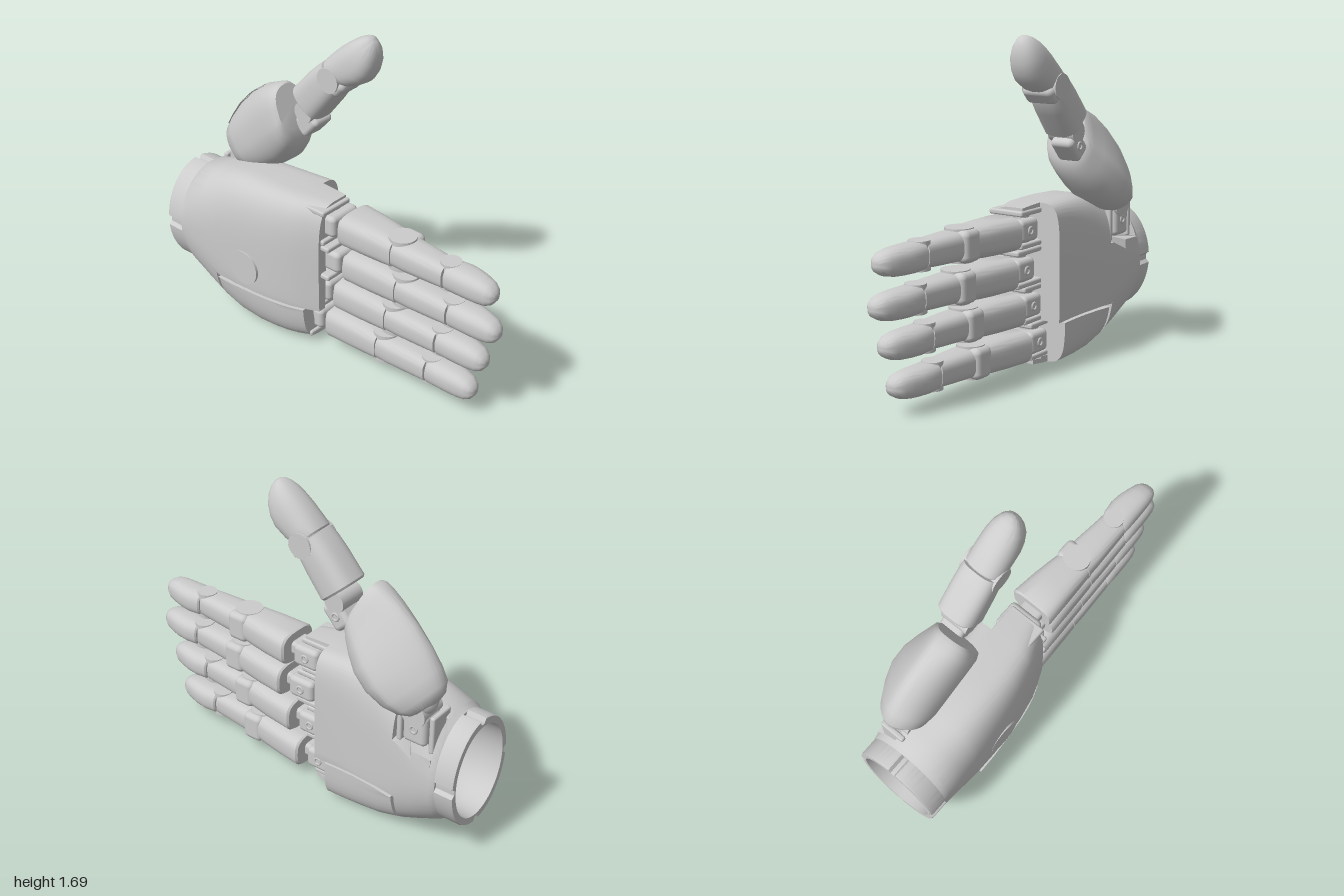
import * as THREE from 'three';
import { toCreasedNormals } from 'three/addons/utils/BufferGeometryUtils.js';
import { RoundedBoxGeometry } from 'three/addons/geometries/RoundedBoxGeometry.js';

const material = new THREE.MeshStandardMaterial({ color: 0xcccccc });

function addMesh(parent, name, geometry, x = 0, y = 0, z = 0) {
  const mesh = new THREE.Mesh(geometry, material);
  mesh.name = name;
  mesh.position.set(x, y, z);
  parent.add(mesh);
}

// Superellipse cross-section between x0..x1 and y0..y1, with its own squareness on
// the -x and +x sides; clip may reshape each point and shift it along z.
function ring([z, x0, x1, y0, y1, nBack = 3, nPalm = nBack], count, clip) {
  const points = [];
  for (let j = 0; j < count; j++) {
    const a = (j / count) * Math.PI * 2, c = Math.cos(a), s = Math.sin(a);
    const n = c > 0 ? nPalm : nBack;
    const x = (x0 + x1) / 2 + Math.sign(c) * Math.abs(c) ** (2 / n) * (x1 - x0) / 2;
    const y = (y0 + y1) / 2 + Math.sign(s) * Math.abs(s) ** (2 / n) * (y1 - y0) / 2;
    const [px, py, dz = 0] = clip ? clip(x, y, z, j) : [x, y];
    points.push([px, py, z + dz]);
  }
  return points;
}

// Skin a list of rings, closing the ends with a fan.
function skin(rings, capStart = true, capEnd = true) {
  const count = rings[0].length;
  const collapse = r => {
    const m = [0, 1, 2].map(k => r.reduce((t, p) => t + p[k], 0) / count);
    return r.map(() => m);
  };
  const all = [...rings];
  if (capStart) all.unshift(collapse(rings[0]));
  if (capEnd) all.push(collapse(rings[rings.length - 1]));
  const index = [];
  for (let i = 0; i < all.length - 1; i++) {
    for (let j = 0; j < count; j++) {
      const k = (j + 1) % count;
      const a = i * count + j, b = i * count + k, c = b + count, d = a + count;
      index.push(a, b, c, a, c, d);
    }
  }
  const g = new THREE.BufferGeometry();
  g.setAttribute('position', new THREE.Float32BufferAttribute(all.flat(2), 3));
  g.setIndex(index);
  return toCreasedNormals(g, 0.6);
}

const loft = (stations, count = 40, clip) => skin(stations.map(s => ring(s, count, clip)));

// Pin barrel along x or y
function barrel(parent, name, r, length, axis, x, y, z) {
  const g = new THREE.CylinderGeometry(r, r, length, 32);
  if (axis === 'x') g.rotateZ(Math.PI / 2);
  addMesh(parent, name, toCreasedNormals(g, 0.6), x, y, z);
}

// Swivel block with a hollow pin on the palm side
function joint(parent, name, w, h, d, x, y, z) {
  addMesh(parent, name, new RoundedBoxGeometry(w, h, d, 3, 0.025), x, y, z);
  const pin = new THREE.TorusGeometry(0.018, 0.006, 8, 20).rotateY(Math.PI / 2);
  addMesh(parent, name + 'Pin', pin, x + w / 2, y, z);
}

// Palm sections: z, x0, x1, y0, y1, squareness of the back and palm sides
const PALM = [
  [-0.9, -0.28, 0.19, 0.15, 0.74, 2], [-0.895, -0.28, 0.193, 0.148, 0.743, 2.05],
  [-0.875, -0.28, 0.193, 0.14, 0.755, 2.15], [-0.87, -0.28, 0.193, 0.135, 0.76, 2.2],
  [-0.76, -0.28, 0.185, 0.085, 0.79, 2.5], [-0.66, -0.28, 0.17, 0.045, 0.82, 2.8, 3],
  [-0.64, -0.28, 0.165, 0.04, 0.825, 2.9, 3.2], [-0.53, -0.278, 0.15, 0.015, 0.848, 3.2, 4],
  [-0.4, -0.27, 0.142, 0.008, 0.853, 3.5, 4.8], [-0.3, -0.26, 0.143, 0.012, 0.853, 3.7, 5.5],
  [-0.17, -0.235, 0.15, 0.025, 0.853, 4, 6], [-0.1, -0.21, 0.145, 0.035, 0.85, 4, 6],
  [-0.02, -0.175, 0.14, 0.045, 0.845, 4, 6],
];

function buildPalm(hand) {
  // Main shell: thumb pocket, space for the heel panel, back plate and index side wall at the front
  const pocket = (x, y) => {
    if (x < 0.05 || y < 0.54) return [x, y];
    return y < 0.58 ? [x, 0.58] : [0.05, y];
  };
  const upper = (x, y) => [x, Math.max(y, 0.25)];
  const pocketUpper = (x, y) => upper(...pocket(x, y));
  const plate = (x, y) => [Math.min(x, y > 0.81 ? 0.03 : -0.13), Math.max(y, 0.25)];
  const clips = [[undefined], [undefined], [undefined], [undefined, pocket], [pocket], [pocket, pocketUpper],
    [pocketUpper, upper], [upper], [upper], [upper], [upper, plate], [plate], [plate]];
  addMesh(hand, 'palm', skin(PALM.flatMap((s, i) => clips[i].map(c => ring(s, 128, c))), false));

  // Heel panel below the little finger
  const lower = (x, y) => [x, Math.min(y, 0.238)];
  const lowerPlate = (x, y) => [Math.min(x, y < 0.06 ? 0.04 : -0.13), Math.min(y, 0.238)];
  const heel = PALM.slice(6, 10).map(s => ring(s, 128, lower));
  const front = [-0.23, -0.249, 0.147, 0.018, 0.853, 3.9, 5.8];
  heel.push(ring(front, 128, lower), ring(front, 128, lowerPlate),
    ring(PALM[10], 128, lowerPlate), ring(PALM[11], 128, lowerPlate));
  addMesh(hand, 'heelPanel', skin(heel));

  // Round cover on the back of the hand
  barrel(hand, 'backCover', 0.095, 0.02, 'x', -0.269, 0.38, -0.45);
}

function buildCuff(hand) {
  // Hollow wrist: bowl, rim and notched outer wall in one skin
  const cx = -0.045, cy = 0.445;
  const round = (z, k, notch) => ring([z, cx - 0.235 * k, cx + 0.235 * k, cy - 0.295 * k, cy + 0.295 * k, 2], 128,
    (x, y, _, j) => {
      const f = notch && (j + 1) % 32 < 3 ? 0.92 : 1;
      return [cx + (x - cx) * f, cy + (y - cy) * f];
    });
  const rings = [[-0.66, 0.15], [-0.68, 0.4], [-0.73, 0.65], [-0.81, 0.79], [-0.9, 0.84], [-1, 0.86]]
    .map(([z, k]) => round(z, k));
  rings.push(round(-1, 0.985, true), round(-0.99, 1, true), round(-0.9, 1, true), round(-0.9, 0.975), round(-0.87, 0.95));
  addMesh(hand, 'wristCuff', skin(rings, true, false));
}

function buildFinger(hand, y, tip) {
  const f = new THREE.Group();
  f.name = 'finger';
  f.position.set(0, y, tip);
  hand.add(f);
  // Each station is distance from the tip, back x, palm x, half height
  const seg = (name, list, n) => addMesh(f, name, loft(list.map(([z, a, b, h]) => [z, a, b, -h, h, n])));
  seg('proximalSegment', [[-0.9, -0.135, 0.09, 0.08], [-0.89, -0.14, 0.1, 0.086], [-0.75, -0.137, 0.082, 0.085],
    [-0.66, -0.134, 0.066, 0.082], [-0.58, -0.131, 0.05, 0.076]], 3.2);
  seg('middleSegment', [[-0.575, -0.13, 0.045, 0.07], [-0.5, -0.13, 0.042, 0.072],
    [-0.36, -0.125, 0.026, 0.068], [-0.28, -0.122, 0.018, 0.063]], 3);
  seg('distalSegment', [[-0.272, -0.118, 0.018, 0.063], [-0.265, -0.122, 0.026, 0.068], [-0.2, -0.123, 0.034, 0.069],
    [-0.14, -0.122, 0.026, 0.068], [-0.09, -0.12, 0.012, 0.065], [-0.045, -0.116, -0.002, 0.056],
    [-0.018, -0.106, -0.02, 0.04], [-0.005, -0.09, -0.04, 0.022], [0, -0.075, -0.055, 0.008]], 2.6);
  // Hinges and the pad that wraps the middle one
  barrel(f, 'middleHinge', 0.07, 0.164, 'y', -0.04, 0, -0.57);
  barrel(f, 'tipHinge', 0.052, 0.14, 'y', -0.045, 0, -0.28);
  addMesh(f, 'hingePad', new RoundedBoxGeometry(0.08, 0.155, 0.12, 3, 0.03), 0.018, 0, -0.56);

  // Knuckle block, neck and the bracket cheeks that hold it
  joint(f, 'knuckle', 0.19, 0.115, 0.15, -0.03, 0, -1.01);
  barrel(f, 'knuckleBarrel', 0.055, 0.15, 'y', -0.03, 0, -1.04);
  addMesh(f, 'neck', new RoundedBoxGeometry(0.12, 0.07, 0.1, 2, 0.02), -0.03, 0, -0.92);
  const back = -0.26 - tip, length = -0.97 - back;
  for (const side of [-1, 1])
    addMesh(f, 'bracketCheek', new RoundedBoxGeometry(0.2, 0.028, length, 2, 0.01),
      -0.06, side * 0.082, back + length / 2);
}

function buildThumb(hand) {
  // Base swivel in the palm pocket
  joint(hand, 'thumbSwivel', 0.13, 0.17, 0.13, 0.095, 0.69, -0.755);
  for (const z of [-0.665, -0.845])
    addMesh(hand, 'thumbBracket', new RoundedBoxGeometry(0.14, 0.2, 0.028, 2, 0.01), 0.08, 0.685, z);
  barrel(hand, 'thumbSwivelBarrel', 0.065, 0.15, 'x', 0.09, 0.77, -0.75);
  addMesh(hand, 'thumbBall', new THREE.SphereGeometry(0.075, 24, 16), 0.1, 0.83, -0.76);

  // Fleshy base of the thumb: fullest towards the palm, slim along its back, slanted at the tip
  const base = new THREE.Group();
  base.name = 'thumbBase';
  base.position.set(0, 0.86, -0.735);
  base.rotation.x = -0.75;
  hand.add(base);
  const slimBack = (x, y, z) => {
    const k = Math.max(0, y + 0.04);
    return [x > 0.05 ? 0.05 + (x - 0.05) * (1 - 2.4 * k) : x + k * 0.1, y, y * Math.max(0, z - 0.2) * 1.2];
  };
  addMesh(base, 'thumbMetacarpal', loft([
    [-0.085, 0.06, 0.15, -0.03, 0.06, 2.2], [-0.07, 0.01, 0.2, -0.085, 0.105, 2.3],
    [-0.03, -0.03, 0.238, -0.13, 0.15, 2.4], [0.04, -0.045, 0.265, -0.165, 0.172, 2.5],
    [0.14, -0.052, 0.28, -0.19, 0.195, 2.5], [0.25, -0.06, 0.265, -0.198, 0.2, 2.5],
    [0.35, -0.068, 0.23, -0.185, 0.185, 2.6], [0.42, -0.072, 0.2, -0.165, 0.16, 2.8],
    [0.46, -0.068, 0.185, -0.135, 0.142, 2.9], [0.478, -0.055, 0.165, -0.09, 0.125, 2.9],
  ], 64, slimBack));

  // Thumb segments
  const thumb = new THREE.Group();
  thumb.name = 'thumb';
  thumb.position.set(0.1, 1.245, -0.3);
  thumb.rotation.x = -0.84;
  hand.add(thumb);
  joint(thumb, 'thumbKnuckle', 0.13, 0.11, 0.14, 0.01, -0.07, -0.09);
  barrel(thumb, 'thumbKnuckleBarrel', 0.055, 0.15, 'x', 0, -0.03, -0.03);
  const seg = (name, list, n) => addMesh(thumb, name, loft(list.map(([z, w, a, b]) => [z, -w, w, a, b, n])));
  seg('thumbProximal', [[0, 0.092, -0.096, 0.096], [0.01, 0.1, -0.104, 0.104], [0.15, 0.1, -0.094, 0.103],
    [0.22, 0.098, -0.085, 0.098], [0.278, 0.093, -0.06, 0.09]], 3);
  barrel(thumb, 'thumbHinge', 0.064, 0.196, 'x', 0, -0.005, 0.27);
  addMesh(thumb, 'thumbHingePad', new RoundedBoxGeometry(0.18, 0.07, 0.1, 3, 0.03), 0, -0.058, 0.27);
  seg('thumbDistal', [[0.284, 0.09, -0.06, 0.086], [0.292, 0.095, -0.075, 0.092], [0.34, 0.095, -0.105, 0.09],
    [0.41, 0.094, -0.127, 0.084], [0.46, 0.089, -0.12, 0.075], [0.51, 0.078, -0.098, 0.063], [0.55, 0.058, -0.066, 0.048],
    [0.575, 0.035, -0.035, 0.033], [0.586, 0.012, -0.01, 0.015]], 2.4);
}

export function createModel() {
  const hand = new THREE.Group();
  hand.name = 'mechanicalHand';
  buildPalm(hand);
  buildCuff(hand);
  [[0.735, 0.97], [0.54, 1], [0.347, 0.94], [0.15, 0.885]].forEach(([y, tip]) => buildFinger(hand, y, tip));
  buildThumb(hand);
  return hand;
}
